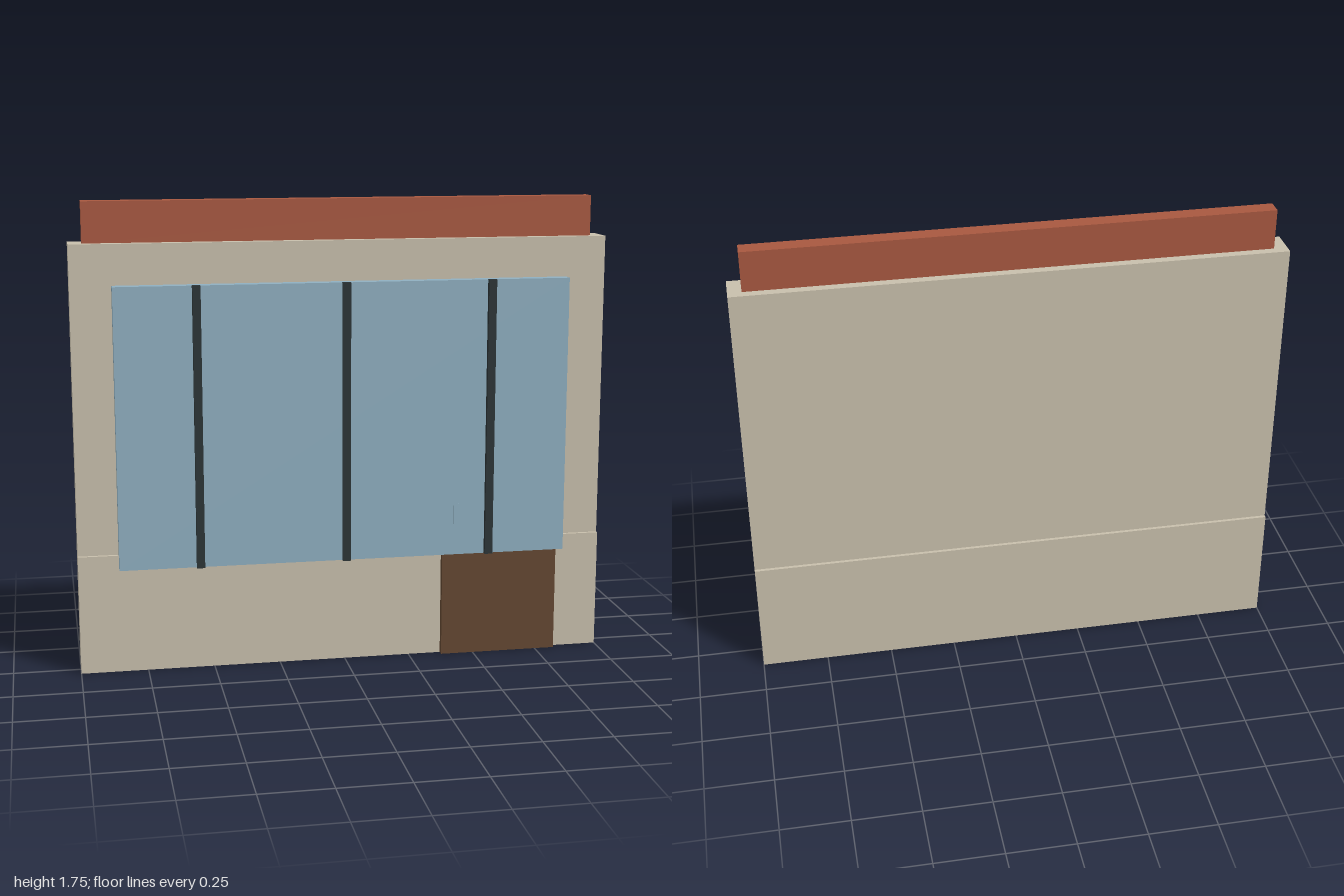
import * as THREE from 'three';

const material = (name, color) => {
  const m = new THREE.MeshStandardMaterial({ color });
  m.name = name;
  return m;
};

// Box given by its [min, max] extents on each axis
function block(name, mat, [x0, x1], [y0, y1], [z0, z1]) {
  const mesh = new THREE.Mesh(new THREE.BoxGeometry(x1 - x0, y1 - y0, z1 - z0), mat);
  mesh.position.set((x0 + x1) / 2, (y0 + y1) / 2, (z0 + z1) / 2);
  mesh.name = name;
  return mesh;
}

export function createModel() {
  const group = new THREE.Group();
  group.name = 'shopfront';

  const stone = material('stone', 0xc8bfac);
  const brick = material('red trim', 0xa85840);
  const glass = material('glass', 0x8fafc0);
  const metal = material('dark metal', 0x2b3436);
  const wood = material('brown wood', 0x644832);

  // Wall on a slightly thicker base, with a parapet on top
  group.add(
    block('base', stone, [-1, 1], [0, 0.45], [-0.1, 0.05]),
    block('wall', stone, [-1, 1], [0.45, 1.6], [-0.088, 0.037]),
    block('parapet', brick, [-0.95, 0.95], [1.6, 1.75], [-0.056, 0.004])
  );

  // Projecting window, with the door below it
  group.add(
    block('window', glass, [-0.85, 0.85], [0.4, 1.45], [0.03, 0.083]),
    block('door', wood, [0.375, 0.825], [0, 0.4], [0.045, 0.073]),
    block('doorHandle', glass, [0.415, 0.435], [0.5, 0.6], [0.07, 0.087])
  );

  // Vertical window bars
  for (const x of [-0.55, 0, 0.55]) {
    group.add(block('windowBar', metal, [x - 0.015, x + 0.015], [0.4, 1.451], [0.08, 0.1]));
  }

  return group;
}
